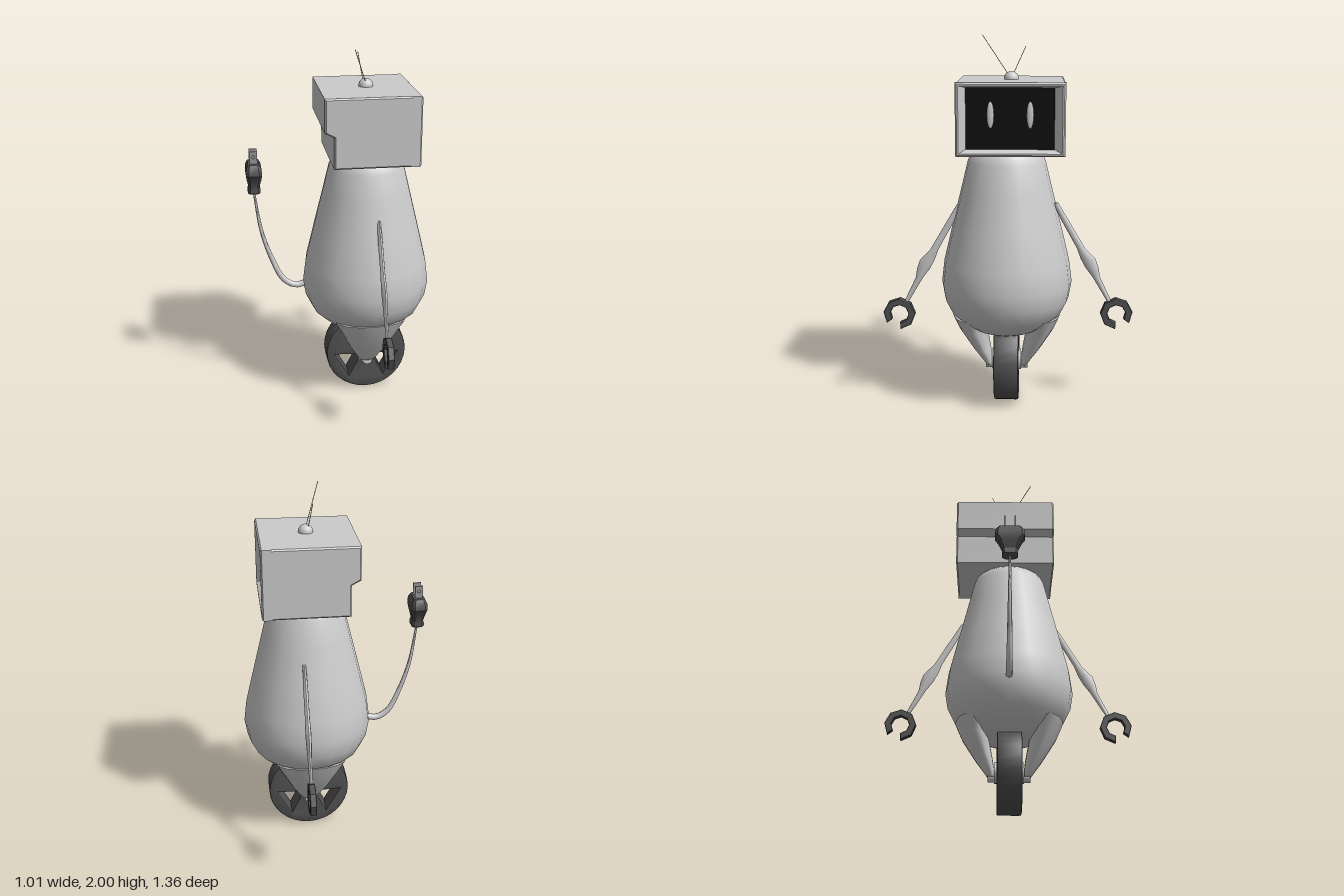
import * as THREE from 'three';
import { toCreasedNormals } from 'three/addons/utils/BufferGeometryUtils.js';

const V = (x, y, z) => new THREE.Vector3(x, y, z);
const mat = (color) => new THREE.MeshStandardMaterial({ color });
const GREY = mat(0xcccccc), DARK = mat(0x505050), BLACK = mat(0x0a0a0a), METAL = mat(0x999999);
const CX = 0.15, CZ = 0.01; // body axis

function add(parent, name, geometry, material = GREY, x = 0, y = 0, z = 0) {
  const mesh = new THREE.Mesh(geometry, material);
  mesh.name = name;
  mesh.position.set(x, y, z);
  parent.add(mesh);
  return mesh;
}

// Skin over closed rings that run counter-clockwise about the direction of travel
function loft(rings, crease = 0.7, caps = true) {
  const n = rings[0].length, last = rings.length - 1;
  const pos = rings.flat().flatMap((p) => [p.x, p.y, p.z]);
  const idx = [];
  for (let i = 0; i < last; i++) {
    for (let j = 0; j < n; j++) {
      const a = i * n + j, b = i * n + (j + 1) % n;
      idx.push(a, b, b + n, a, b + n, a + n);
    }
  }
  if (caps) {
    for (let j = 1; j < n - 1; j++) {
      idx.push(0, j + 1, j, last * n, last * n + j, last * n + j + 1);
    }
  }
  const g = new THREE.BufferGeometry();
  g.setAttribute('position', new THREE.Float32BufferAttribute(pos, 3));
  g.setIndex(idx);
  return toCreasedNormals(g, crease);
}

// Horizontal ellipse for upright lofts
function ring(x, y, z, hx, hz, n = 12) {
  return Array.from({ length: n }, (_, i) => {
    const a = (i / n) * Math.PI * 2;
    return V(x + Math.sin(a) * hx, y, z + Math.cos(a) * hz);
  });
}

// Thin straight rod between two points
function rod(a, b, r) {
  return new THREE.TubeGeometry(new THREE.LineCurve3(a, b), 1, r, 6);
}

function buildBody(root) {
  const profile = [[0, 0.4], [0.13, 0.4], [0.19, 0.425], [0.245, 0.46], [0.3, 0.51], [0.34, 0.59], [0.355, 0.68],
    [0.34, 0.8], [0.292, 1.0], [0.243, 1.2], [0.208, 1.345], [0.19, 1.385], [0.16, 1.41], [0, 1.41]];
  const curve = profile.map(([r, y]) => new THREE.Vector2(r, y));
  add(root, 'body', toCreasedNormals(new THREE.LatheGeometry(curve, 20), 0.8), GREY, CX, 0, CZ);

  // Tapered fork legs reaching down to the axle
  for (const s of [1, -1]) {
    const rows = [[0.2, 0.075, 0.115, 0.04], [0.23, 0.078, 0.135, 0.06], [0.3, 0.088, 0.185, 0.1],
      [0.42, 0.11, 0.26, 0.155], [0.5, 0.1, 0.295, 0.2]];
    const rings = rows.map(([y, inner, outer, hx]) =>
      ring(CX, y, CZ + s * (inner + outer) / 2, hx, (outer - inner) / 2, 16));
    add(root, s > 0 ? 'rightFork' : 'leftFork', loft(rings, 1));
  }
}

function buildWheel(root) {
  const wheel = new THREE.Group();
  wheel.name = 'wheel';
  wheel.position.set(CX, 0.232, CZ);
  root.add(wheel);

  // Disc with three triangular openings
  const disc = new THREE.Shape().absarc(0, 0, 0.22, 0, Math.PI * 2);
  for (const deg of [90, 210, 330]) {
    const at = (d, r) => {
      const a = THREE.MathUtils.degToRad(d);
      return new THREE.Vector2(Math.cos(a) * r, Math.sin(a) * r);
    };
    disc.holes.push(new THREE.Path([at(deg - 29, 0.195), at(deg + 29, 0.195), at(deg + 20, 0.05), at(deg - 20, 0.05)]));
  }
  const g = new THREE.ExtrudeGeometry(disc, {
    depth: 0.114, bevelSize: 0.01, bevelThickness: 0.01, bevelSegments: 2, curveSegments: 16,
  });
  add(wheel, 'rim', toCreasedNormals(g, 0.6), DARK, 0, 0, -0.057);
  add(wheel, 'axle', new THREE.CylinderGeometry(0.058, 0.058, 0.16, 16).rotateX(Math.PI / 2), GREY, 0, -0.005, 0);
  add(wheel, 'axlePin', new THREE.CylinderGeometry(0.028, 0.028, 0.23, 12).rotateX(Math.PI / 2), GREY, 0, -0.03, 0);
}

function buildHead(root) {
  const head = new THREE.Group();
  head.name = 'head';
  root.add(head);

  // Casing: side outline with a step under the back
  const b = 0.008;
  const side = new THREE.Shape([[-0.06, 1.4], [0.365, 1.4], [0.365, 1.775], [-0.108, 1.775], [-0.108, 1.595], [-0.06, 1.57]]
    .map(([x, y]) => new THREE.Vector2(x, y)));
  const casing = new THREE.ExtrudeGeometry(side, {
    depth: 0.56 - 2 * b, bevelSize: b, bevelThickness: b, bevelOffset: -b, bevelSegments: 1,
  });
  add(head, 'casing', toCreasedNormals(casing, 0.3), GREY, 0, 0, -0.295 + b);

  // Face frame: outer edge, lip, then inward to the screen
  const rect = (x, y0, y1, z0, z1) => [V(x, y0, z0), V(x, y1, z0), V(x, y1, z1), V(x, y0, z1)];
  const frame = [
    rect(0.345, 1.4, 1.775, -0.295, 0.265),
    rect(0.392, 1.4, 1.775, -0.295, 0.265),
    rect(0.4, 1.408, 1.767, -0.287, 0.257),
    rect(0.4, 1.416, 1.759, -0.279, 0.249),
    rect(0.368, 1.436, 1.747, -0.237, 0.211),
  ];
  add(head, 'faceFrame', loft(frame, 0.3, false));
  add(head, 'screen', new THREE.BoxGeometry(0.01, 0.315, 0.452), BLACK, 0.366, 1.592, -0.013);
  for (const z of [0.087, -0.115]) {
    add(head, 'eye', new THREE.SphereGeometry(1, 16, 12), GREY, 0.371, 1.61, z).scale.set(0.008, 0.068, 0.018);
  }

  // Antenna knob and two whiskers
  add(head, 'antennaKnob', new THREE.SphereGeometry(0.04, 16, 12), GREY, 0.147, 1.777, -0.015);
  add(head, 'antenna', rod(V(0.147, 1.79, -0.005), V(0.064, 2, 0.14), 0.002));
  add(head, 'antenna', rod(V(0.135, 1.79, -0.02), V(0.115, 1.945, -0.09), 0.002));
}

function buildArm(root, s) {
  const arm = new THREE.Group();
  arm.name = s > 0 ? 'rightArm' : 'leftArm';
  arm.position.set(s > 0 ? 0.178 : 0.185, s > 0 ? 0 : 0.012, s > 0 ? 0.012 : -0.002);
  root.add(arm);

  // Limb swelling at the elbow: height, reach, half thicknesses
  const rows = [[0.56, 0.55, 0.009, 0.012], [0.7, 0.475, 0.012, 0.02], [0.75, 0.452, 0.015, 0.035],
    [0.8, 0.43, 0.016, 0.04], [0.86, 0.39, 0.013, 0.022], [1.0, 0.31, 0.013, 0.02], [1.11, 0.25, 0.009, 0.015]];
  add(arm, 'limb', loft(rows.map(([y, z, hx, hz]) => ring(0, y, s * z, hx, hz, 8)), 0.9));

  // Open eight-sided gripper, gap facing down and outward
  const outer = [], inner = [];
  for (let i = 0; i <= 7; i++) {
    const a = THREE.MathUtils.degToRad(-65 + 28 + i * (304 / 7));
    const p = new THREE.Vector2(s * Math.cos(a), Math.sin(a));
    outer.push(p.clone().multiplyScalar(0.088));
    inner.unshift(p.clone().multiplyScalar(0.05));
  }
  const claw = new THREE.ExtrudeGeometry(new THREE.Shape([...outer, ...inner]), {
    depth: 0.028, bevelSize: 0.003, bevelThickness: 0.003, bevelOffset: -0.003, bevelSegments: 1,
  });
  claw.translate(0, 0, -0.014).rotateY(-Math.PI / 2);
  add(arm, 'gripper', claw, DARK, 0, 0.495, s * 0.588);
}

function buildTail(root) {
  const tail = new THREE.Group();
  tail.name = 'tail';
  tail.position.z = 0.005;
  root.add(tail);

  // Cord thinning toward the plug
  const curve = new THREE.CatmullRomCurve3([V(-0.15, 0.68, 0), V(-0.2, 0.658, 0), V(-0.25, 0.65, 0), V(-0.315, 0.69, 0),
    V(-0.375, 0.81, 0), V(-0.43, 0.98, 0), V(-0.467, 1.22, 0)]);
  const rings = [];
  for (let i = 0; i <= 24; i++) {
    const t = i / 24, p = curve.getPointAt(t), d = curve.getTangentAt(t);
    const r = THREE.MathUtils.lerp(0.02, 0.006, t);
    rings.push(Array.from({ length: 8 }, (_, j) => {
      const a = (j / 8) * Math.PI * 2, c = Math.cos(a) * r;
      return V(p.x - d.y * c, p.y + d.x * c, Math.sin(a) * r);
    }));
  }
  add(tail, 'cord', loft(rings, 1));

  // Plug with a narrow waist, chamfered rectangular sections
  const section = (y, hx, hz) => {
    const c = 0.35 * hx;
    return [[-hx + c, hz], [hx - c, hz], [hx, hz - c], [hx, -hz + c], [hx - c, -hz], [-hx + c, -hz], [-hx, -hz + c], [-hx, hz - c]]
      .map(([x, z]) => V(x, y, z));
  };
  const rows = [[1.21, 0.027, 0.032], [1.217, 0.034, 0.042], [1.235, 0.034, 0.042], [1.25, 0.028, 0.04],
    [1.3, 0.04, 0.062], [1.325, 0.043, 0.08], [1.36, 0.041, 0.076], [1.383, 0.03, 0.06]];
  add(tail, 'plug', loft(rows.map((r) => section(...r)), 0.6), DARK, -0.465);

  // Flat prongs, each with a hole
  const prong = new THREE.Shape([[-0.021, 0], [0.021, 0], [0.021, 0.08], [-0.021, 0.08]].map(([x, y]) => new THREE.Vector2(x, y)));
  prong.holes.push(new THREE.Path().absarc(0, 0.05, 0.009, 0, Math.PI * 2, true));
  for (const z of [-0.028, 0.028]) {
    const g = new THREE.ExtrudeGeometry(prong, { depth: 0.008, bevelEnabled: false, curveSegments: 5 });
    add(tail, 'prong', g, METAL, -0.465, 1.37, z - 0.004);
  }
}

export function createModel() {
  const root = new THREE.Group();
  root.name = 'robot';
  buildBody(root);
  buildWheel(root);
  buildHead(root);
  buildArm(root, 1);
  buildArm(root, -1);
  buildTail(root);
  return root;
}
